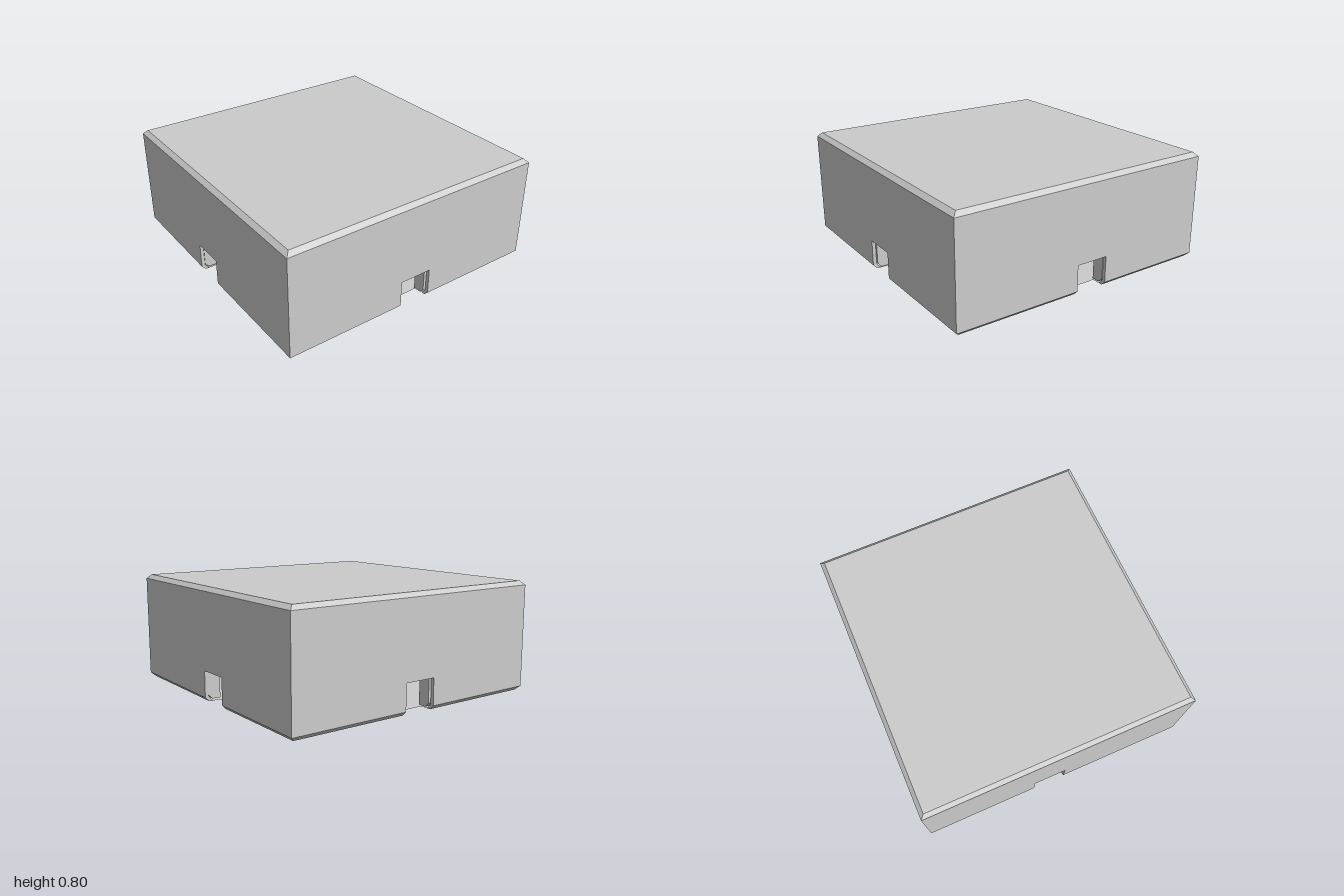
import * as THREE from 'three';

const NOTCH_TOP = 0.22;
const material = new THREE.MeshStandardMaterial({ color: 0xcccccc, flatShading: true, side: THREE.DoubleSide });

// Cross-sections of the walls as [depth from the outer face, height]
const outerProfile = [[0, 0.03], [0.03, 0], [0.055, 0], [0.025, 0.04], [0.025, 0.75], [0.05, 0.8], [0.03, 0.8], [0, 0.77]];
const innerProfile = [[0.025, 0.045], [0.055, 0.015], [0.115, 0.015], [0.115, 0.78], [0.05, 0.78], [0.025, 0.75]];

// Keep only the part of a profile above the notch
function lintelProfile(profile) {
  const depths = profile.filter(p => p[1] > NOTCH_TOP).map(p => p[0]);
  const back = profile === outerProfile ? 0.025 : Math.max(...depths);
  return [[Math.min(...depths), NOTCH_TOP], [back, NOTCH_TOP], ...profile.filter(p => p[1] > NOTCH_TOP)];
}

// Sweep a profile along the wall from u0 to u1; ends at +-1 are mitred
function wallSegment(profile, u0, u1) {
  const shape = new THREE.Shape(profile.map(p => new THREE.Vector2(p[0], p[1])));
  const geometry = new THREE.ExtrudeGeometry(shape, { depth: 1, bevelEnabled: false });
  const pos = geometry.attributes.position;
  for (let i = 0; i < pos.count; i++) {
    const d = pos.getX(i);
    let u = pos.getZ(i) > 0.5 ? u1 : u0;
    if (Math.abs(u) === 1) u *= 1 - d;
    pos.setXYZ(i, u, pos.getY(i), 1 - d);
  }
  geometry.computeVertexNormals();
  return new THREE.Mesh(geometry, material);
}

// One wall layer: two full-height pieces and a lintel over the notch
function wallLayer(name, profile, [a, b]) {
  const group = new THREE.Group();
  group.name = name;
  const left = wallSegment(profile, -1, a);
  const right = wallSegment(profile, b, 1);
  const lintel = wallSegment(lintelProfile(profile), a, b);
  left.name = name + 'Side';
  right.name = name + 'OtherSide';
  lintel.name = name + 'Lintel';
  group.add(left, right, lintel);
  return group;
}

export function createModel() {
  const model = new THREE.Group();
  model.name = 'chamferedBox';

  // Walls in turn: front, left, back, right, each with its notch range
  const walls = [
    { name: 'frontWall', outer: [-0.17, 0.07], inner: [-0.165, 0.07] },
    { name: 'leftWall', outer: [-0.12, 0.12], inner: [-0.1, 0.1] },
    { name: 'backWall', outer: [-0.07, 0.17], inner: [-0.07, 0.165] },
    { name: 'rightWall', outer: [-0.12, 0.12], inner: [-0.1, 0.1] },
  ];
  const floorPoints = [];
  const edge = 0.945, bite = 0.885;
  walls.forEach((wall, i) => {
    const group = new THREE.Group();
    group.name = wall.name;
    group.add(wallLayer('outerSkin', outerProfile, wall.outer));
    group.add(wallLayer('innerWall', innerProfile, wall.inner));
    group.rotation.y = i * Math.PI / 2;
    model.add(group);

    // Floor outline along this wall, bitten out at the notch
    const [a, b] = wall.outer;
    for (const [u, w] of [[-edge, edge], [a, edge], [a, bite], [b, bite], [b, edge]]) {
      const p = new THREE.Vector3(u, 0, w).applyAxisAngle(new THREE.Vector3(0, 1, 0), i * Math.PI / 2);
      floorPoints.push(new THREE.Vector2(p.x, p.z));
    }
  });

  // Thin floor
  const floorGeometry = new THREE.ShapeGeometry(new THREE.Shape(floorPoints));
  floorGeometry.rotateX(Math.PI / 2);
  const floor = new THREE.Mesh(floorGeometry, material);
  floor.name = 'floor';
  model.add(floor);

  // Flat top plate inside the chamfered rim
  const top = new THREE.Mesh(new THREE.BoxGeometry(1.9, 0.02, 1.9), material);
  top.name = 'topPlate';
  top.position.y = 0.79;
  model.add(top);

  return model;
}
